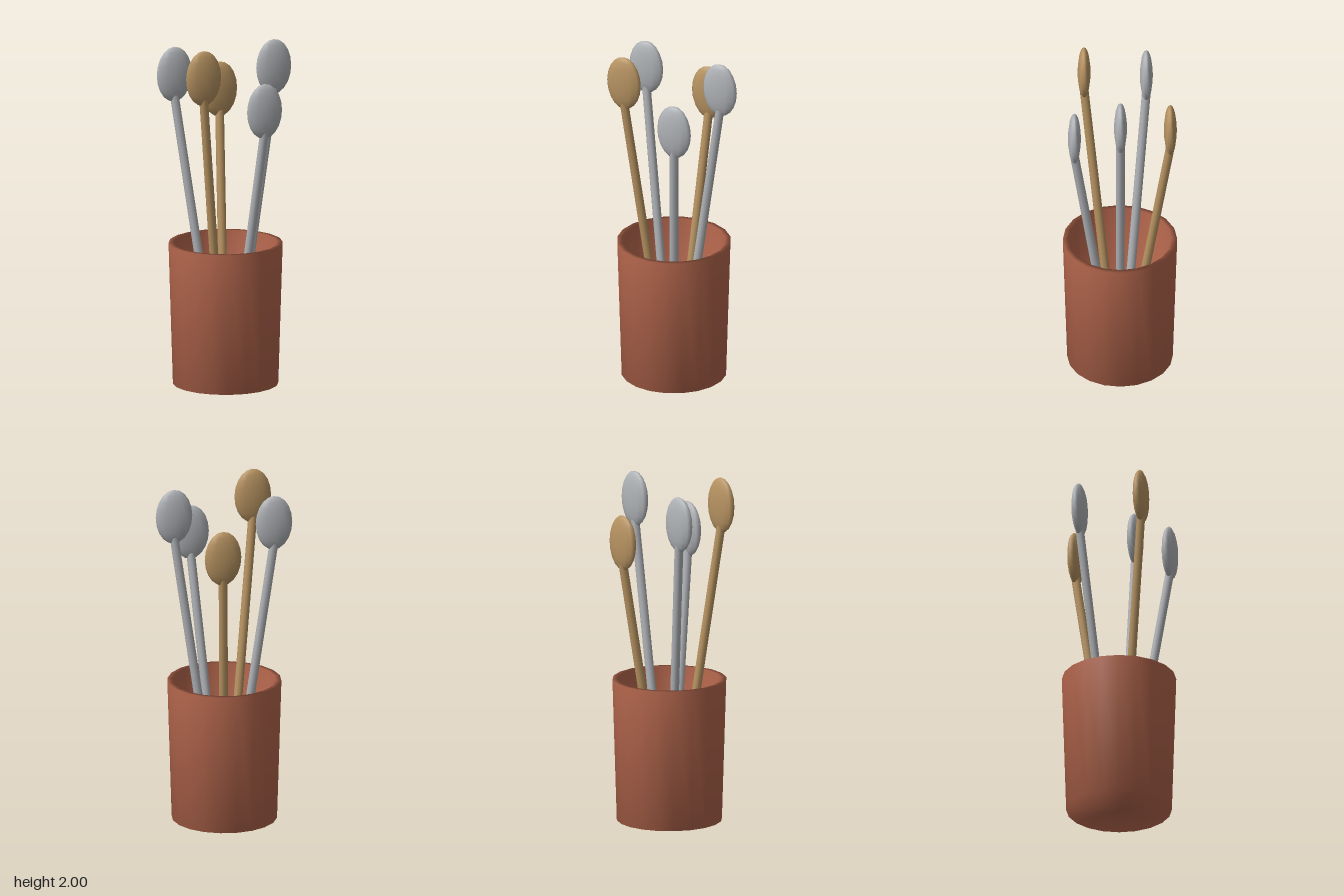
import * as THREE from 'three';

export function createModel() {
  const group = new THREE.Group();
  const material = (name, color) => {
    const m = new THREE.MeshStandardMaterial({ color });
    m.name = name;
    return m;
  };
  const terracotta = material('terracotta', 0xb5674d);
  const silver = material('silver', 0xb0b3b7);
  const wood = material('wood', 0xb89462);

  const potX = -0.022;

  // Hollow tapered pot, with normals blended over the rim and foot
  const profile = [[0, 0], [0.3, 0], [0.325, 0.82], [0.295, 0.82], [0.27, 0.04], [0, 0.04]]
    .map(([r, y]) => new THREE.Vector2(r, y));
  const pot = new THREE.Mesh(new THREE.LatheGeometry(profile, 20), terracotta);
  pot.name = 'pot';
  pot.position.x = potX;
  group.add(pot);

  // Spoons fan out from near the pot's centre: head x, y, z and material
  const spoons = [
    [0.272, 1.82, 0, silver],
    [0.112, 1.63, 0.26, silver],
    [-0.237, 1.84, 0.202, wood],
    [-0.275, 1.79, -0.152, silver],
    [0.055, 1.645, -0.285, wood],
  ];
  const up = new THREE.Vector3(0, 1, 0);
  const headGeometry = new THREE.SphereGeometry(1, 12, 10);
  headGeometry.scale(0.107, 0.16, 0.037);

  spoons.forEach(([x, y, z, mat], i) => {
    const spoon = new THREE.Group();
    spoon.name = `spoon${i + 1}`;

    // Upright flattened head
    const head = new THREE.Mesh(headGeometry, mat);
    head.name = 'spoonHead';
    head.position.set(x, y, z);

    // Leaning handle, from the pot floor into the lower part of the head
    const end = new THREE.Vector3(x, y - 0.12, z);
    const start = new THREE.Vector3(potX + (x - potX) * 0.17, 0.045, z * 0.17);
    const axis = end.clone().sub(start);
    const handle = new THREE.Mesh(
      new THREE.CylinderGeometry(0.025, 0.025, axis.length(), 10), mat);
    handle.name = 'spoonHandle';
    handle.position.copy(start).add(end).multiplyScalar(0.5);
    handle.quaternion.setFromUnitVectors(up, axis.normalize());

    spoon.add(head, handle);
    group.add(spoon);
  });

  return group;
}
